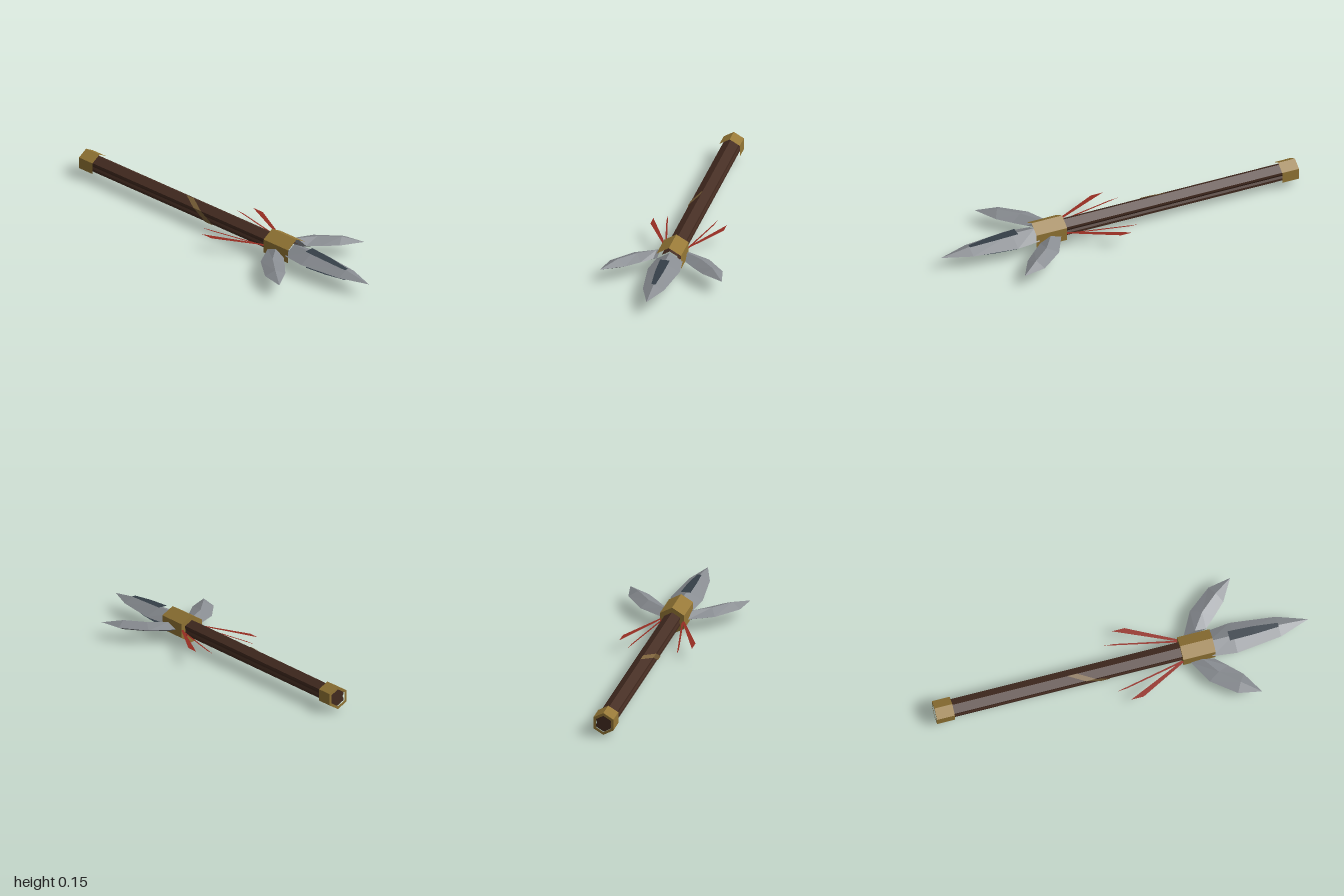
import * as THREE from 'three';

const mat = (name, color) => {
  const m = new THREE.MeshStandardMaterial({ color, flatShading: true });
  m.name = name;
  return m;
};
const CY = 0.075; // height of the weapon's axis

// Skin a list of closed rings of [x, y, z] points
function loft(rings) {
  const pos = [];
  for (let r = 0; r < rings.length - 1; r++) {
    const a = rings[r], b = rings[r + 1], n = a.length;
    for (let i = 0; i < n; i++) {
      const j = (i + 1) % n;
      pos.push(...a[i], ...a[j], ...b[i], ...a[j], ...b[j], ...b[i]);
    }
  }
  return fromTriangles(pos);
}

function fromTriangles(pos) {
  const g = new THREE.BufferGeometry();
  g.setAttribute('position', new THREE.Float32BufferAttribute(pos, 3));
  g.computeVertexNormals();
  return g;
}

// Flat quad strip between two rails of points
function strip(railA, railB) {
  const pos = [];
  for (let i = 0; i < railA.length - 1; i++) {
    pos.push(...railA[i], ...railB[i], ...railA[i + 1], ...railB[i], ...railB[i + 1], ...railA[i + 1]);
  }
  return fromTriangles(pos);
}

export function createModel() {
  const group = new THREE.Group();
  const wood = mat('dark wood', 0x452c21);
  const brass = mat('brass', 0x967836);
  const steel = mat('steel', 0x888c91);
  const slate = mat('dark slate', 0x353f48);
  const red = mat('red cloth', 0x962d22);
  const leather = mat('tan leather', 0x7a6038);
  for (const m of [slate, red, leather]) m.side = THREE.DoubleSide;

  const add = (name, geometry, material) => {
    const mesh = new THREE.Mesh(geometry, material);
    mesh.name = name;
    group.add(mesh);
    return mesh;
  };

  // Six-sided shaft with a groove along each flank
  const half = [[0.048, 0], [0.024, 0.042], [0.011, 0.042], [0, 0.036], [-0.011, 0.042], [-0.024, 0.042]];
  const profile = [...half, ...half.map(([y, z]) => [-y, -z])];
  const shaftRing = (x, s = 1) => profile.map(([y, z]) => [x, CY + y * s, z * s]);
  add('shaft', loft([shaftRing(-0.99, 0), shaftRing(-0.99), shaftRing(0.47)]), wood);

  // Hexagonal collars, open toward the tip
  for (const [name, x0, x1, r] of [['endCollar', -1, -0.905, 0.062], ['headCollar', 0.315, 0.488, 0.075]]) {
    const sleeve = new THREE.CylinderGeometry(r, r, x1 - x0, 6, 1, true, Math.PI / 2);
    sleeve.rotateZ(-Math.PI / 2).translate((x0 + x1) / 2, CY, 0);
    add(name, sleeve, brass);
    const rim = new THREE.RingGeometry(0.046, r, 6, 1, Math.PI / 2);
    rim.rotateY(-Math.PI / 2).translate(x0, CY, 0);
    add(name + 'Rim', rim, brass);
  }

  // Central blade with diamond sections: x, half height, half width
  const diamond = ([x, h, w]) => [[x, CY + h, 0], [x, CY, w], [x, CY - h, 0], [x, CY, -w]];
  add('mainBlade', loft([
    [0.47, 0, 0], [0.47, 0.04, 0.07], [0.6, 0.041, 0.085], [0.84, 0.025, 0.056], [1, 0, 0],
  ].map(diamond)), steel);

  // Dark inlays along the upper and lower ridges
  for (const s of [1, -1]) {
    const rail = (k) => [[0.575, 0.047, 0.026], [0.71, 0.04, 0.022], [0.84, 0.029, 0.011]]
      .map(([x, y, z]) => [x, CY + s * y, k * z]);
    add(s > 0 ? 'upperInlay' : 'lowerInlay', strip(rail(s), rail(-s)), slate);
  }

  for (const s of [1, -1]) {
    const side = s > 0 ? 'front' : 'back';

    // Curved side blades: outer x, z, inner x, z, half height
    const wing = [
      [0.414, 0.08, 0.414, 0.08, 0],
      [0.353, 0.075, 0.476, 0.085, 0.025],
      [0.42, 0.2, 0.535, 0.14, 0.025],
      [0.545, 0.3, 0.6, 0.205, 0.025],
      [0.668, 0.323, 0.668, 0.323, 0],
    ].map(([ox, oz, ix, iz, h]) => {
      const mx = (ox + ix) / 2, mz = s * (oz + iz) / 2;
      const ring = [[mx, CY + h, mz], [ox, CY, s * oz], [mx, CY - h, mz], [ix, CY, s * iz]];
      return s > 0 ? ring : ring.reverse();
    });
    add(side + 'SideBlade', loft(wing), steel);

    // Flat trailing ribbons
    const ribbon = (name, y, a0, a1, b0, b1) => {
      const p = ([x, z]) => [x, y, s * z];
      const rails = [[p(a0), p(a1)], [p(b0), p(b1)]];
      add(side + name, strip(rails[s > 0 ? 0 : 1], rails[s > 0 ? 1 : 0]), red);
    };
    ribbon('OuterRibbon', 0.08, [0, 0.195], [0.31, 0.056], [0.068, 0.195], [0.32, 0.064]);
    ribbon('InnerRibbon', 0.072, [-0.06, 0.131], [0.31, 0.052], [-0.005, 0.127], [0.32, 0.06]);
  }

  // Leather strap winding over the front of the shaft
  const strap = [[-0.29, 0.051, 0], [-0.2, 0.026, 0.0445], [-0.115, -0.026, 0.0445]];
  add('strap', strip(
    strap.map(([x, y, z]) => [x, CY + y, z]),
    strap.map(([x, y, z]) => [x + 0.052, CY + y, z]),
  ), leather);

  return group;
}
